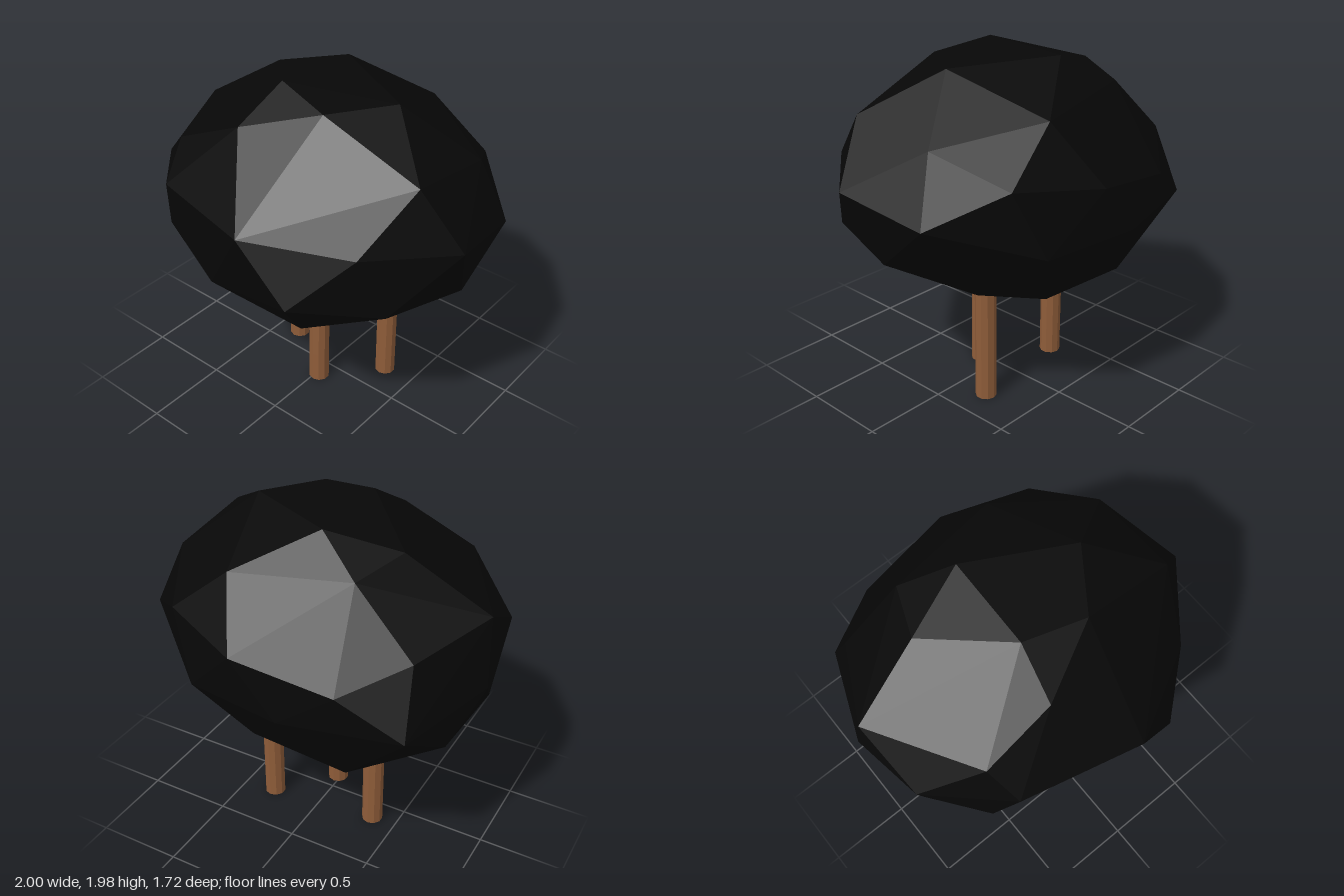
import * as THREE from 'three';
import { ConvexGeometry } from 'three/addons/geometries/ConvexGeometry.js';

const foliage = new THREE.MeshStandardMaterial({ color: 0x070707, flatShading: true });
foliage.name = 'dark foliage';
const bark = new THREE.MeshStandardMaterial({ color: 0x8e5c39, flatShading: true });
bark.name = 'brown bark';

// Corners of the faceted crown, by region
const crownCorners = [
  // top
  [-0.15, 1.98, 0.19], [0.43, 1.935, -0.05], [-0.13, 1.955, -0.34], [0.2, 1.93, 0.28],
  [-0.52, 1.86, -0.2], [-0.2, 1.81, 0.48], [0.27, 1.74, -0.61], [-0.4, 1.8, -0.5],
  // left side
  [0.78, 1.71, 0.25], [0.79, 1.64, -0.29], [1, 1.37, 0.15], [0.93, 1.28, -0.37], [0.89, 0.99, -0.04],
  // front
  [0.65, 1.4, 0.57], [0.76, 1.04, 0.46], [0.12, 1.45, 0.86], [0.4, 1.12, 0.82],
  [0.32, 0.84, 0.61], [-0.34, 0.84, 0.62], [-0.67, 1.09, 0.59], [-0.56, 1.43, 0.69],
  // right side
  [-0.62, 1.62, 0.5], [-0.94, 1.35, 0.31], [-1, 1.19, -0.16],
  [-0.97, 1.57, -0.1], [-0.88, 0.86, 0.24], [-0.85, 0.85, -0.31],
  // back
  [-0.79, 1.1, -0.7], [-0.75, 1.47, -0.55], [-0.45, 1.32, -0.8], [-0.14, 1.1, -0.85],
  [0.12, 1.41, -0.86], [0.44, 1.09, -0.76], [0.6, 1.47, -0.66],
  // underside
  [0.47, 0.71, 0.12], [0.42, 0.71, -0.25], [0.03, 0.565, 0.29], [-0.45, 0.595, 0],
  [0.05, 0.585, -0.25], [-0.4, 0.69, -0.58], [0.2, 0.71, -0.55],
];

// Ten-sided trunk whose upper part leans by "bend" along z
function makeTrunk(name, x, z, height, bend) {
  const geometry = new THREE.CylinderGeometry(0.062, 0.062, height, 10, 4);
  geometry.translate(0, height / 2, 0);
  const p = geometry.attributes.position;
  for (let i = 0; i < p.count; i++) {
    const t = p.getY(i) / height;
    p.setZ(i, p.getZ(i) + bend * t * t);
  }
  geometry.computeVertexNormals();
  const trunk = new THREE.Mesh(geometry, bark);
  trunk.name = name;
  trunk.position.set(x, 0, z);
  return trunk;
}

export function createModel() {
  const tree = new THREE.Group();
  tree.name = 'tree';

  const crown = new THREE.Mesh(
    new ConvexGeometry(crownCorners.map((c) => new THREE.Vector3(...c))), foliage);
  crown.name = 'crown';
  tree.add(crown);

  tree.add(
    makeTrunk('leftTrunk', 0.302, -0.198, 0.85, 0),
    makeTrunk('middleTrunk', 0.02, 0.11, 0.8, -0.025),
    makeTrunk('rightTrunk', -0.348, -0.132, 0.8, 0),
  );
  return tree;
}
